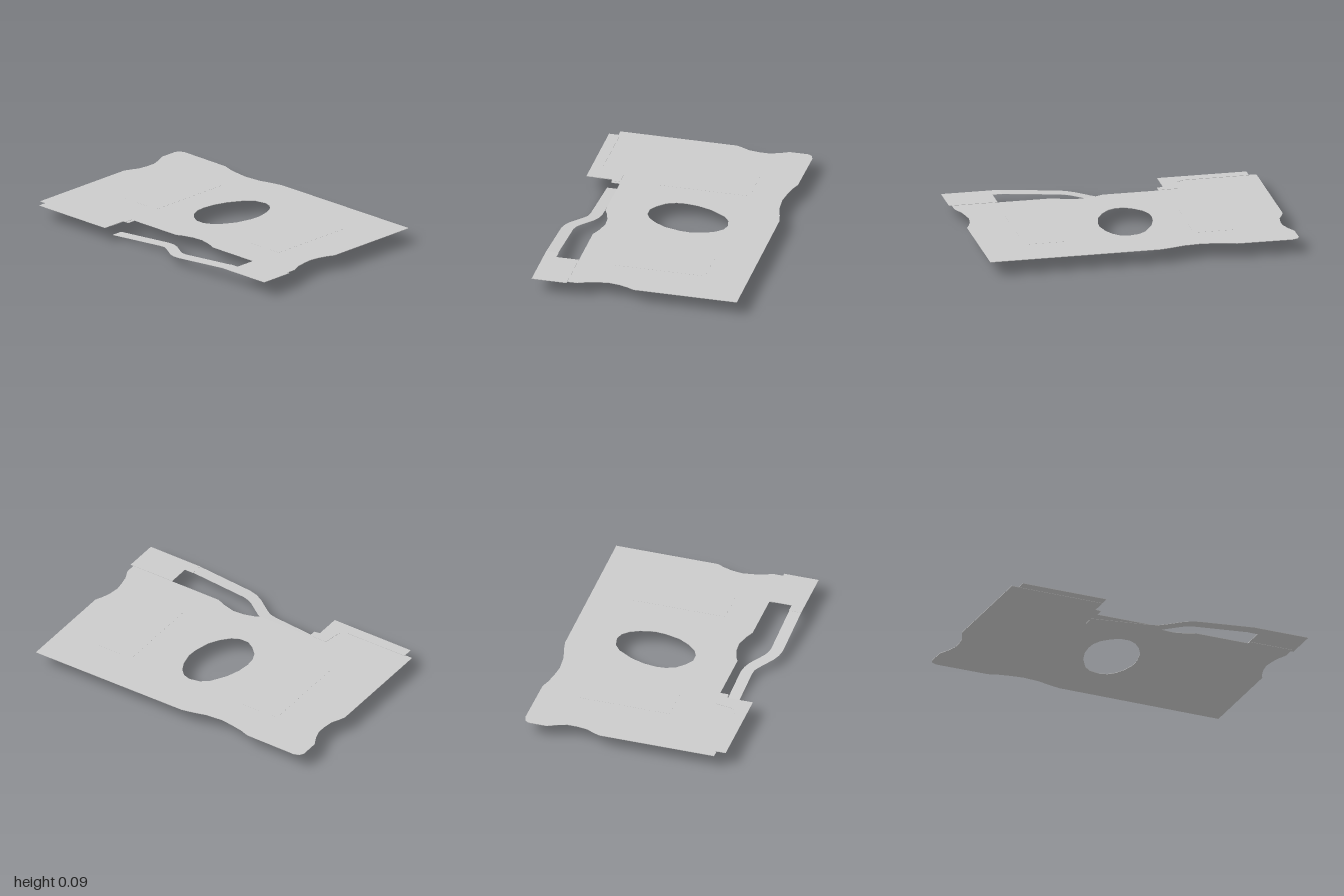
import * as THREE from 'three';

const material = new THREE.MeshStandardMaterial({ color: 0xcccccc, flatShading: true, side: THREE.DoubleSide });
const Y = 0.0895, T = 0.003;

const toPoints = (list) => list.map(([x, z]) => new THREE.Vector2(x, -z));

// Flat sheet from an [x, z] outline, resting at height y
function sheet(name, outline, y, thickness, hole) {
  const shape = new THREE.Shape(toPoints(outline));
  if (hole) shape.holes.push(new THREE.Path(toPoints(hole)));
  const geometry = new THREE.ExtrudeGeometry(shape, { depth: thickness, bevelEnabled: false });
  geometry.rotateX(-Math.PI / 2).translate(0, y, 0);
  const mesh = new THREE.Mesh(geometry, material);
  mesh.name = name;
  return mesh;
}

const rect = (x0, x1, z0, z1) => [[x0, z0], [x1, z0], [x1, z1], [x0, z1]];

export function createModel() {
  const group = new THREE.Group();
  group.name = 'platedLever';

  // Main plate with wavy cut-outs and the oval opening
  const outline = [
    [-0.6, -1], [0.15, -1], [0.2, -0.98], [0.24, -0.96], [0.31, -0.95], [0.37, -0.95], [0.43, -0.97], [0.49, -1],
    [0.61, -1], [0.635, -0.985], [0.648, -0.95], [0.645, -0.6], [0.625, -0.54], [0.61, -0.46], [0.6, -0.38],
    [0.61, -0.27], [0.635, -0.18], [0.65, -0.11], [0.655, 0.98],
    [-0.01, 0.98], [-0.05, 0.96], [-0.11, 0.94], [-0.18, 0.93], [-0.24, 0.938], [-0.3, 0.95], [-0.37, 0.98],
    [-0.46, 0.98], [-0.46, 0.69], [-0.435, 0.69], [-0.435, 0.34], [-0.41, 0.28], [-0.39, 0.2], [-0.395, 0.13],
    [-0.415, 0.06], [-0.435, 0.02], [-0.435, -0.34], [-0.49, -0.34], [-0.495, -0.38], [-0.6, -0.38],
  ];
  const opening = [
    [0.03, -0.19], [0.11, -0.18], [0.2, -0.15], [0.3, -0.09], [0.34, -0.04], [0.355, 0.03], [0.34, 0.08],
    [0.3, 0.12], [0.24, 0.15], [0.15, 0.17], [0.08, 0.165], [-0.02, 0.14], [-0.09, 0.1], [-0.145, 0.05],
    [-0.17, 0], [-0.17, -0.06], [-0.14, -0.11], [-0.09, -0.16], [-0.03, -0.185],
  ];
  group.add(sheet('mainPlate', outline, Y, T, opening));

  // Side tabs overlapping the plate
  group.add(sheet('frontTab', [
    [-0.66, 0.63], [-0.58, 0.63], [-0.58, 0.69], [-0.435, 0.69], [-0.435, 1], [-0.66, 1],
  ], Y + 0.002, T));
  group.add(sheet('backTab', [
    [-0.66, -0.95], [-0.59, -0.95], [-0.59, -0.53], [-0.56, -0.48], [-0.44, -0.46], [-0.44, -0.36],
    [-0.49, -0.36], [-0.495, -0.38], [-0.66, -0.38],
  ], Y + 0.002, T));

  // Cranked spring arm, sloping down beneath the plate
  const arm = sheet('springArm', [
    [-0.66, 0.63], [-0.66, 0.25], [-0.65, 0.2], [-0.63, 0.155], [-0.565, 0.06], [-0.545, 0.025], [-0.54, -0.02],
    [-0.54, -0.43], [-0.465, -0.43], [-0.465, -0.01], [-0.475, 0.04], [-0.495, 0.085], [-0.56, 0.18],
    [-0.575, 0.21], [-0.583, 0.25], [-0.583, 0.63],
  ], 0, 0.002);
  const position = arm.geometry.attributes.position;
  for (let i = 0; i < position.count; i++) {
    const rise = (position.getZ(i) + 0.43) / 1.06;
    position.setY(i, position.getY(i) + rise * (Y + 0.002));
  }
  arm.geometry.computeVertexNormals();
  group.add(arm);

  // Shallow inlays on the top face
  group.add(sheet('frontPanel', rect(-0.22, 0.38, 0.45, 0.7), Y + T, 0.0006));
  group.add(sheet('backPanel', rect(-0.2, 0.39, -0.65, -0.38), Y + T, 0.0006));

  return group;
}
